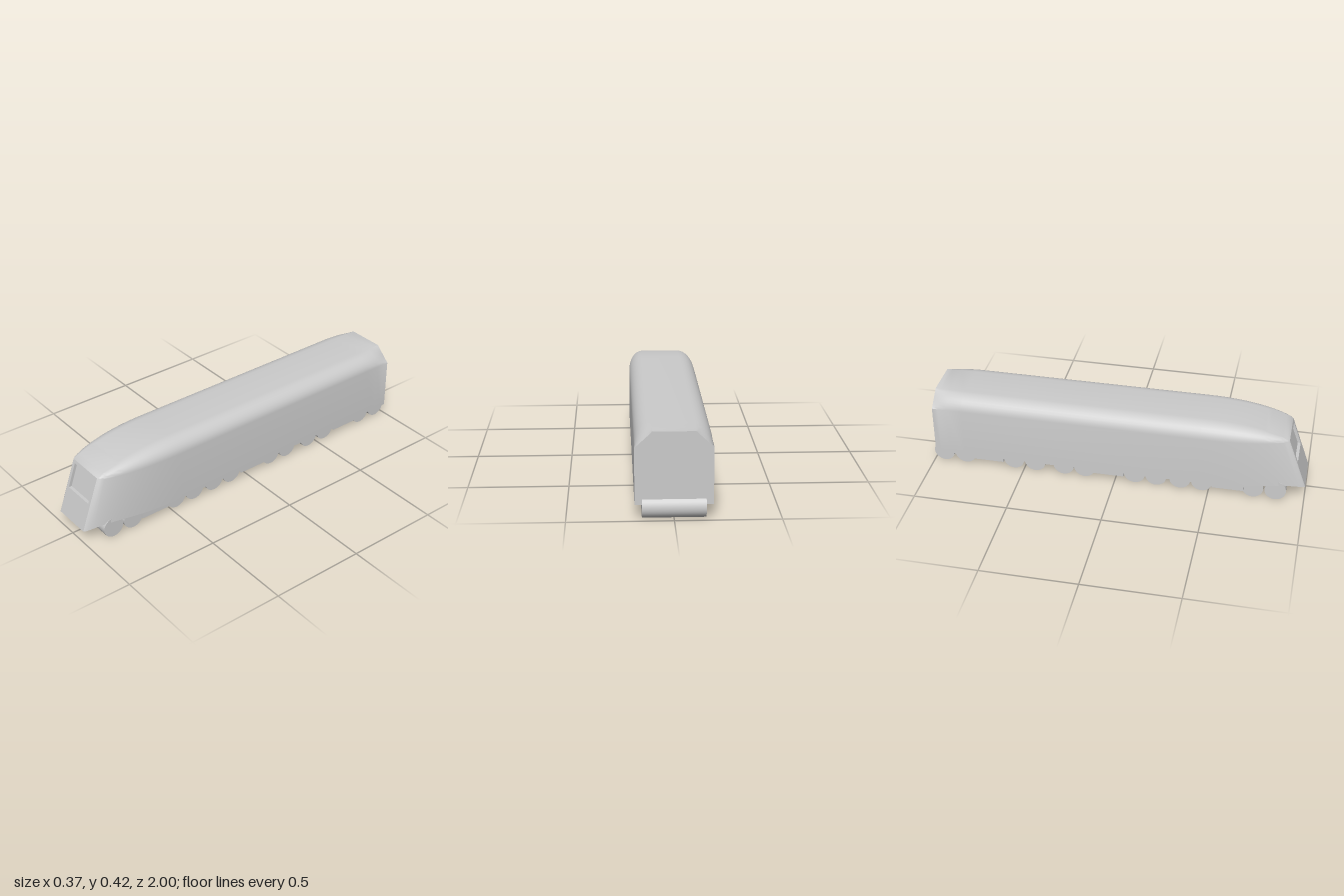
import * as THREE from 'three';
import { toCreasedNormals } from 'three/addons/utils/BufferGeometryUtils.js';

const BASE = 0.072, SHOULDER = 0.346, ROOF = 0.423, HALF = 0.183;
const BACK = -0.98, NOSE_START = 0.45, FLAT = 0.1, SLOPE = 0.1 / 0.278;
const ARC = 8;

// Half cross-section on the +x side, from the bottom corner up to the roof edge
function halfSection(halfWidth, top, bottom, bulge) {
  const pts = [[halfWidth, bottom]];
  for (let i = 0; i <= ARC; i++) {
    const u = i / ARC, a = u * Math.PI / 2;
    const cx = THREE.MathUtils.lerp(1 - u, Math.cos(a), bulge);
    const cy = THREE.MathUtils.lerp(u, Math.sin(a), bulge);
    pts.push([FLAT + (halfWidth - FLAT) * cx, SHOULDER + (top - SHOULDER) * cy]);
  }
  return pts;
}

const mirrored = (pts) => [...pts, ...pts.slice().reverse().map(([x, y]) => [-x, y])];

// Closed ring at one station; the nose rings lean back progressively
function ring(z, bulge) {
  const t = Math.max(0, (z - NOSE_START) / (1 - NOSE_START));
  const k = Math.max(0, 1 - t * t);
  const halfWidth = 0.105 + (HALF - 0.105) * Math.pow(k, 0.65);
  const top = 0.35 + (ROOF - 0.35) * Math.pow(k, 0.75);
  const bottom = BASE + 0.018 * Math.sin(Math.PI * Math.pow(t, 2.5));
  const lean = SLOPE * Math.pow(t, 1.4);
  return mirrored(halfSection(halfWidth, top, bottom, bulge))
    .map(([x, y]) => [x, y, z - lean * (y - BASE)]);
}

function shellGeometry() {
  // Straight chamfer at the tail swells into a round shoulder
  const rings = [[BACK, 0], [-0.95, 0.45], [-0.9, 0.8], [-0.82, 1]].map(([z, b]) => ring(z, b));
  const steps = 20;
  for (let i = 0; i <= steps; i++) {
    const t = Math.sin((i / steps) * Math.PI / 2);
    rings.push(ring(NOSE_START + (1 - NOSE_START) * t, 1));
  }
  const n = rings[0].length, index = [];
  for (let j = 0; j < rings.length - 1; j++) {
    for (let i = 0; i < n; i++) {
      const a = j * n + i, b = j * n + (i + 1) % n;
      index.push(a, b, b + n, a, b + n, a + n);
    }
  }
  const g = new THREE.BufferGeometry();
  g.setAttribute('position', new THREE.Float32BufferAttribute(rings.flat(2), 3));
  g.setIndex(index);
  return toCreasedNormals(g, 0.6);
}

// Slide vertices in z so a flat piece follows the raked front
function rake(g, inset) {
  const p = g.attributes.position;
  for (let i = 0; i < p.count; i++) {
    p.setZ(i, p.getZ(i) + 1 - inset - SLOPE * (p.getY(i) - BASE));
  }
  g.computeVertexNormals();
  return g;
}

function rectPath(target, w, y0, y1) {
  target.moveTo(-w, y0);
  target.lineTo(w, y0);
  target.lineTo(w, y1);
  target.lineTo(-w, y1);
  target.closePath();
  return target;
}

export function createModel() {
  const model = new THREE.Group();
  model.name = 'locomotive';
  const grey = new THREE.MeshStandardMaterial({ color: 0xcccccc });
  const add = (name, geometry) => {
    const mesh = new THREE.Mesh(geometry, grey);
    mesh.name = name;
    model.add(mesh);
    return mesh;
  };

  // Body shell and flat tail
  add('bodyShell', shellGeometry());
  const tail = mirrored(halfSection(HALF, ROOF, BASE, 0)).map(([x, y]) => new THREE.Vector2(x, y));
  const rear = add('rearWall', new THREE.ShapeGeometry(new THREE.Shape(tail)));
  rear.rotation.y = Math.PI;
  rear.position.z = BACK;

  // Raked front with a recessed window
  const depth = 0.017;
  const face = rectPath(new THREE.Shape(), 0.105, BASE, 0.35);
  face.holes.push(rectPath(new THREE.Path(), 0.088, 0.21, 0.335));
  add('frontWall', rake(new THREE.ExtrudeGeometry(face, { depth, bevelEnabled: false }), depth));
  const pane = rectPath(new THREE.Shape(), 0.09, 0.208, 0.337);
  add('windscreen', rake(new THREE.ShapeGeometry(pane), depth - 0.001));

  // Wheel rollers
  const roller = new THREE.CylinderGeometry(0.056, 0.056, 0.298, 32).rotateZ(Math.PI / 2);
  const wheelZ = [0.85, 0.732, 0.464, 0.348, 0.22, 0.105, -0.166, -0.28, -0.437, -0.555, -0.826, -0.944];
  for (const z of wheelZ) add('wheelRoller', roller).position.set(0, 0.056, z);

  // Underfloor boxes between the wheel groups
  for (const [z0, z1] of [[0.52, 0.685], [-0.115, 0.05], [-0.775, -0.61]]) {
    const box = add('underfloorBox', new THREE.BoxGeometry(0.326, 0.055, z1 - z0));
    box.position.set(0, 0.0655, (z0 + z1) / 2);
  }
  return model;
}
